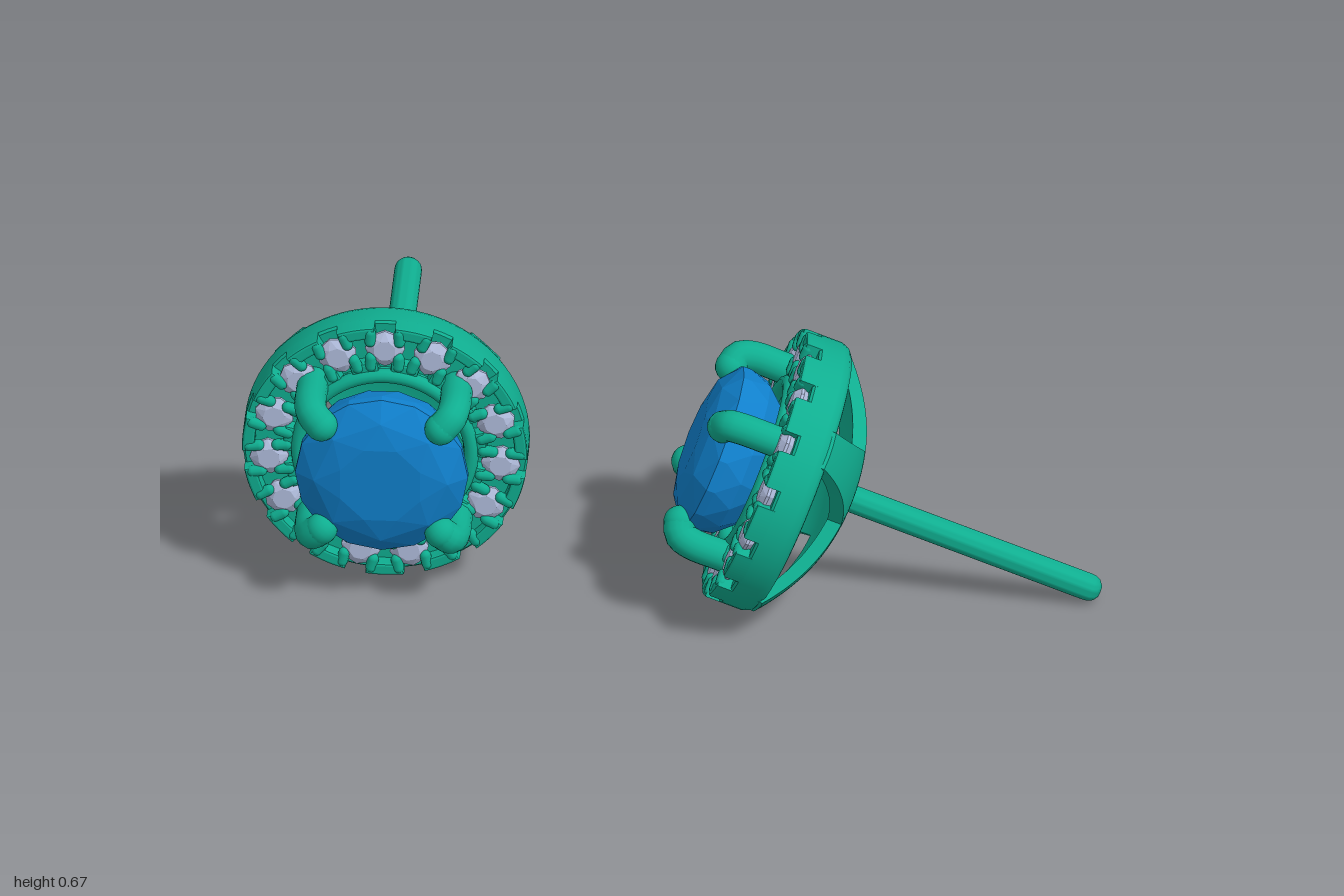
import * as THREE from 'three';
import { toCreasedNormals } from 'three/addons/utils/BufferGeometryUtils.js';
import { ConvexGeometry } from 'three/addons/geometries/ConvexGeometry.js';

const metal = new THREE.MeshStandardMaterial({ color: 0x0fae90 });
const blue = new THREE.MeshStandardMaterial({ color: 0x1080cc });
const pale = new THREE.MeshStandardMaterial({ color: 0xb2bede });
const STONES = 15;

function add(parent, name, geometry, material = metal) {
  const mesh = new THREE.Mesh(geometry, material);
  mesh.name = name;
  parent.add(mesh);
  return mesh;
}

// Lathe around the z axis with crisp edges; profile is [radius, z]
function latheZ(profile, segments = 90) {
  const g = new THREE.LatheGeometry(profile.map(p => new THREE.Vector2(...p)), segments);
  return toCreasedNormals(g.rotateX(Math.PI / 2), 0.6);
}

// Faceted gem from rings of [radius, z, corner count, twist in steps]
function gem(rings) {
  const pts = [];
  for (const [r, z, n, twist] of rings) {
    for (let i = 0; i < n; i++) {
      const a = ((i + twist) / n) * Math.PI * 2;
      pts.push(new THREE.Vector3(r * Math.cos(a), r * Math.sin(a), z));
    }
  }
  return new ConvexGeometry(pts);
}

// Curved block of the halo rim
function sector(inner, outer, half, z0, z1) {
  const bevel = 0.006;
  const s = new THREE.Shape();
  s.absarc(0, 0, outer - bevel, -half, half, false);
  s.absarc(0, 0, inner + bevel, half, -half, true);
  const g = new THREE.ExtrudeGeometry(s, {
    depth: z1 - z0 - 2 * bevel, bevelSize: bevel, bevelThickness: bevel, bevelSegments: 2, curveSegments: 5,
  });
  return g.translate(0, 0, z0 + bevel);
}

// One domed arm of the back star, running along +x from the centre
function starArm() {
  const reach = 0.322, elbow = 0.092, thick = 0.035;
  const g = new THREE.BoxGeometry(1, 2, 1, 28, 8, 1);
  const p = g.attributes.position;
  for (let i = 0; i < p.count; i++) {
    const x = (p.getX(i) + 0.5) * reach;
    const t = Math.max(0, (x - elbow) / (reach - elbow));
    const half = x < elbow ? x : 0.046 + (elbow - 0.046) * (1 - t) ** 1.4;
    const y = p.getY(i) * half;
    const z = 0.03 + 0.125 * (Math.hypot(x, y) / 0.325) ** 2.3;
    p.setXYZ(i, x, y, z + (p.getZ(i) + 0.5) * thick);
  }
  return toCreasedNormals(g, 0.7);
}

function createEarring() {
  const earring = new THREE.Group();

  // Halo body: rounded rim, recessed back, open centre
  add(earring, 'haloBody', latheZ([
    [0.2, 0.19], [0.285, 0.182], [0.29, 0.155], [0.3, 0.15], [0.313, 0.153], [0.324, 0.162],
    [0.33, 0.178], [0.33, 0.232], [0.325, 0.238], [0.205, 0.238], [0.2, 0.232], [0.2, 0.19],
  ]));

  // Ring that seats the centre stone
  add(earring, 'seatRing', new THREE.TorusGeometry(0.2, 0.017, 12, 72)).position.z = 0.262;
  add(earring, 'seatCollar', latheZ([
    [0.178, 0.2], [0.21, 0.2], [0.21, 0.265], [0.19, 0.265], [0.178, 0.2],
  ]));

  // Centre stone
  add(earring, 'centreStone', gem([
    [0.1, 0.425, 8, 0.5], [0.155, 0.411, 8, 0], [0.2, 0.375, 16, 0], [0.2, 0.355, 16, 0],
    [0.187, 0.305, 16, 0.5], [0.13, 0.235, 8, 0], [0.015, 0.165, 8, 0],
  ]), blue);

  // Four prongs curling over the centre stone, and the star's arms behind them
  const prongPath = new THREE.CatmullRomCurve3([
    [0.235, 0.19], [0.236, 0.28], [0.235, 0.35], [0.224, 0.381], [0.195, 0.392],
  ].map(([r, z]) => new THREE.Vector3(r, 0, z)));
  for (let i = 0; i < 4; i++) {
    const corner = new THREE.Group();
    corner.name = 'cornerSupport';
    corner.rotation.z = Math.PI / 4 + i * Math.PI / 2;
    add(corner, 'prong', new THREE.TubeGeometry(prongPath, 20, 0.037, 16));
    add(corner, 'prongTip', new THREE.SphereGeometry(0.0375, 18, 12)).position.set(0.195, 0, 0.392);
    add(corner, 'starArm', starArm());
    earring.add(corner);
  }

  // Halo stones with four claws each, and rim blocks in the gaps
  const stoneGeo = gem([[0.026, 0.27, 8, 0.5], [0.046, 0.257, 8, 0], [0.046, 0.25, 8, 0], [0.02, 0.222, 8, 0]]);
  const clawGeo = new THREE.CapsuleGeometry(0.0135, 0.022, 5, 10);
  const outerBlock = sector(0.3, 0.33, 0.118, 0.22, 0.271);
  const innerBlock = sector(0.207, 0.236, 0.12, 0.22, 0.268);
  const step = Math.PI * 2 / STONES;
  for (let i = 0; i < STONES; i++) {
    const setting = new THREE.Group();
    setting.name = 'haloSetting';
    setting.rotation.z = i * step;
    add(setting, 'haloStone', stoneGeo, pale).position.y = 0.269;
    for (const side of [-1, 1]) {
      add(setting, 'outerClaw', clawGeo).position.set(side * 0.034, 0.301, 0.262);
      add(setting, 'innerClaw', clawGeo).position.set(side * 0.032, 0.236, 0.262);
    }
    for (const [name, geo] of [['outerRimBlock', outerBlock], ['innerRimBlock', innerBlock]]) {
      add(setting, name, geo).rotation.z = Math.PI / 2 + step / 2;
    }
    earring.add(setting);
  }

  // Post with rounded tip
  add(earring, 'post', latheZ([
    [0, -0.59], [0.014, -0.588], [0.025, -0.58], [0.031, -0.568], [0.032, -0.555], [0.032, 0.05], [0, 0.05],
  ], 28));
  return earring;
}

export function createModel() {
  const model = new THREE.Group();

  // Earring facing the front
  const upright = createEarring();
  upright.name = 'frontFacingEarring';
  upright.position.set(-0.67, 0.355, 0);

  // Earring resting on its rim and post tip, facing sideways and up
  const tilted = createEarring();
  tilted.name = 'restingEarring';
  const c = Math.cos(0.375), s = Math.sin(0.375);
  const forward = new THREE.Vector3(-c, s, 0);
  tilted.quaternion.setFromRotationMatrix(new THREE.Matrix4().makeBasis(
    new THREE.Vector3(0, 0, 1), new THREE.Vector3(s, c, 0), forward));
  tilted.position.set(0.24, 0.33, 0.255).addScaledVector(forward, -0.21);

  model.add(upright, tilted);
  return model;
}
